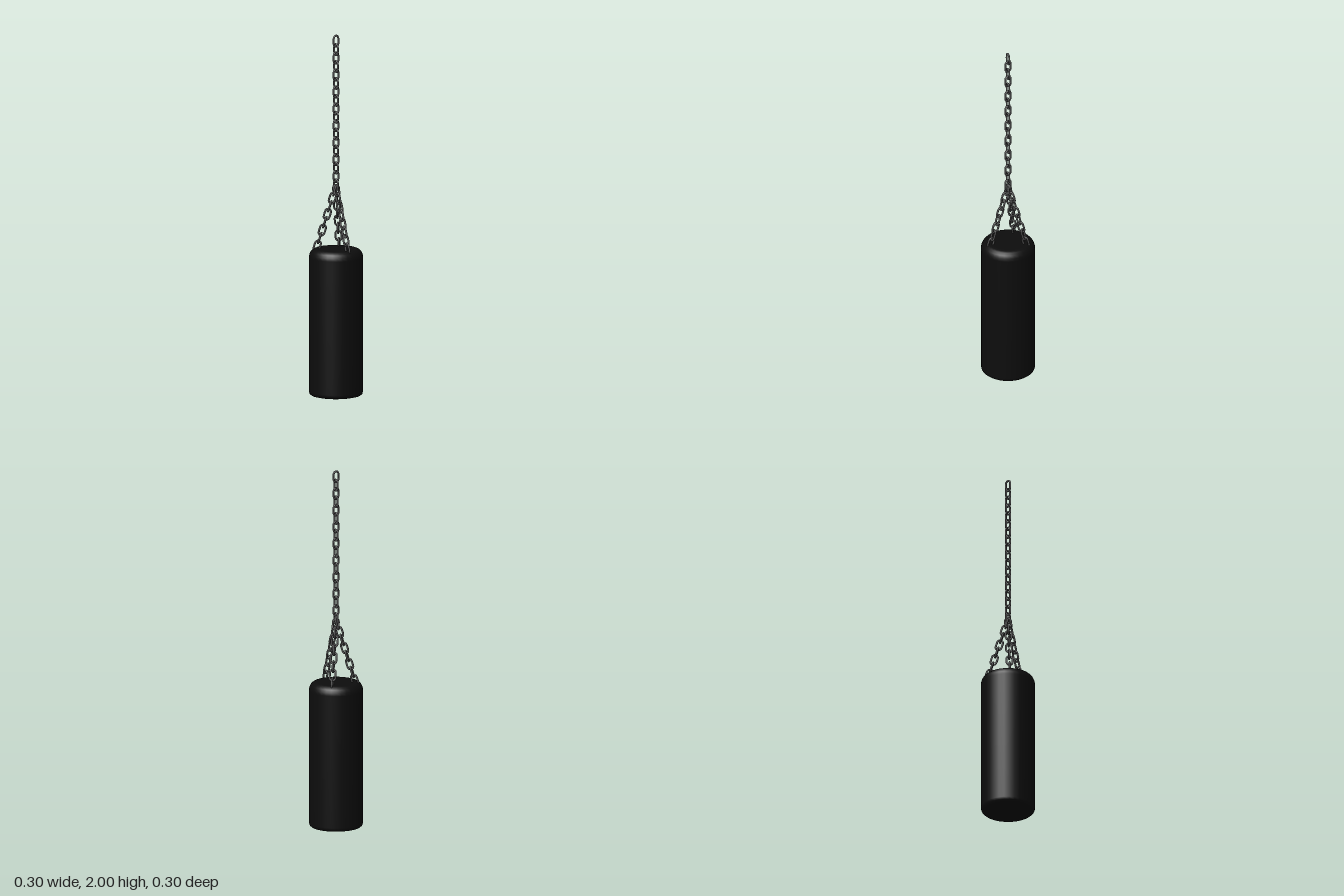
import * as THREE from 'three';

const chainMetal = new THREE.MeshStandardMaterial({ color: 0x585858 });
chainMetal.name = 'chain metal';
const bagLeather = new THREE.MeshStandardMaterial({ color: 0x0d0d0d });
bagLeather.name = 'black leather';

// Oval chain link lying in the XY plane, long axis along y
function makeLinkGeometry() {
  const wire = 0.0055, halfW = 0.021 - wire, halfL = 0.036 - wire;
  const straight = halfL - halfW;
  const points = [];
  for (let i = 0; i < 16; i++) {
    const a = ((i + 0.5) / 16) * Math.PI * 2;
    points.push(new THREE.Vector3(
      Math.cos(a) * halfW, Math.sin(a) * halfW + Math.sign(Math.sin(a)) * straight, 0));
  }
  const path = new THREE.CatmullRomCurve3(points, true);
  return new THREE.TubeGeometry(path, 28, wire, 8, true);
}

// Hanging chain: odd links are turned a quarter turn about the chain axis
function makeChain(name, geometry, count, pitch, turnedParity) {
  const chain = new THREE.Group();
  chain.name = name;
  for (let i = 0; i < count; i++) {
    const link = new THREE.Mesh(geometry, chainMetal);
    link.name = 'chainLink';
    link.position.y = -i * pitch;
    if (i % 2 === turnedParity) link.rotation.y = Math.PI / 2;
    chain.add(link);
  }
  return chain;
}

export function createModel() {
  const model = new THREE.Group();
  model.name = 'punchingBag';

  // Bag body with rounded shoulders and a slightly domed base
  const profile = [
    [0, 0.003], [0.07, 0.005], [0.115, 0.009], [0.135, 0.014], [0.144, 0.022], [0.148, 0.036],
    [0.148, 0.4], [0.148, 0.772], [0.145, 0.789], [0.138, 0.804], [0.127, 0.815],
    [0.115, 0.82], [0.1, 0.821], [0, 0.821],
  ].map(([r, y]) => new THREE.Vector2(r, y));
  const bag = new THREE.Mesh(new THREE.LatheGeometry(profile, 32), bagLeather);
  bag.name = 'bag';
  model.add(bag);

  // Main chain
  const linkGeometry = makeLinkGeometry();
  const mainChain = makeChain('mainChain', linkGeometry, 18, 0.0466, 0);
  mainChain.position.y = 1.964;
  model.add(mainChain);

  // Three chains spreading from the main chain to the bag top
  const dx = 0.0138, dy = 0.0442;
  [0, 133, 226].forEach((degrees) => {
    const holder = new THREE.Group();
    holder.name = 'sideChainHolder';
    const chain = makeChain('sideChain', linkGeometry, 8, Math.hypot(dx, dy), 0);
    chain.position.set(0.006, 1.142, 0);
    chain.rotation.z = Math.atan2(dx, dy);
    holder.add(chain);
    holder.rotation.y = -THREE.MathUtils.degToRad(degrees);
    model.add(holder);
  });

  return model;
}
